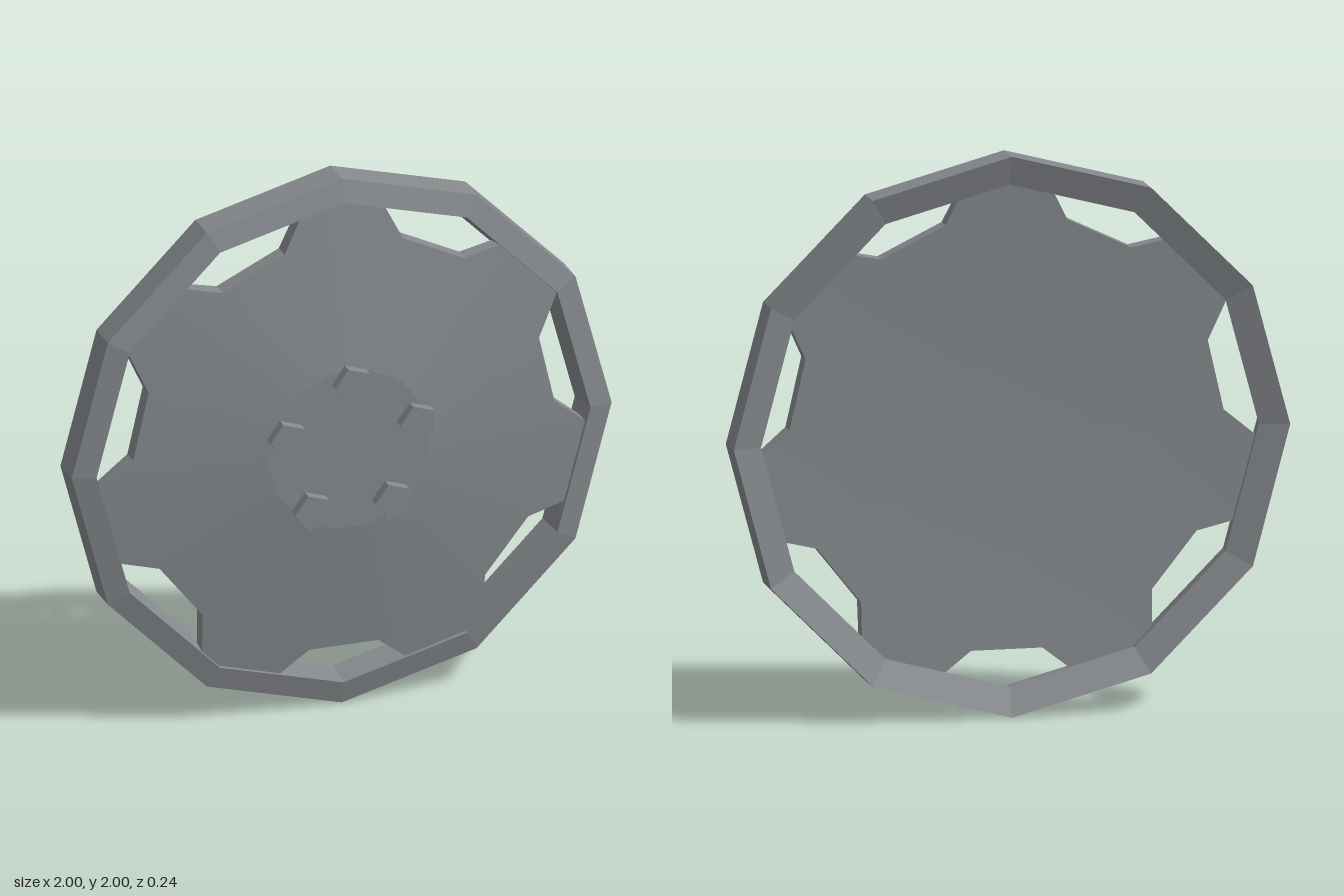
import * as THREE from 'three';
import { toCreasedNormals } from 'three/addons/utils/BufferGeometryUtils.js';

const SIDES = 12, RIM_IN = 0.915, HUB_R = 0.3;
const STEP = (Math.PI * 2) / SIDES;

// Radius of a regular polygon with its corners at multiples of STEP
function polyRadius(angle, r) {
  const a = ((angle % STEP) + STEP) % STEP;
  return (r * Math.cos(STEP / 2)) / Math.cos(a - STEP / 2);
}

// Outline of the plate: a twelve-sided disc with seven trapezoid notches
function plateOutline() {
  const points = [], notches = [];
  for (let i = 0; i < 7; i++) {
    const mid = -Math.PI / 2 + (i * Math.PI * 2) / 7;
    const place = (t, r) => ({ a: mid + Math.atan2(t, r), r: Math.hypot(t, r) });
    notches.push(mid);
    for (const side of [-1, 1]) {
      points.push(place(side * 0.128, 0.771));
      // walk along the slanted notch side until it meets the rim
      let lo = 0, hi = 0.3;
      for (let k = 0; k < 30; k++) {
        const s = (lo + hi) / 2;
        const p = place(side * (0.128 + s), 0.771 + 0.77 * s);
        if (p.r < polyRadius(p.a, RIM_IN)) lo = s; else hi = s;
      }
      points.push(place(side * (0.128 + lo), 0.771 + 0.77 * lo));
    }
  }
  // rim corners that do not fall inside a notch
  for (let i = 0; i < SIDES; i++) {
    const a = i * STEP;
    if (notches.every((m) => Math.cos(a - m) < Math.cos(0.275))) points.push({ a, r: RIM_IN });
  }
  const turn = Math.PI * 2;
  points.forEach((p) => { p.a = ((p.a % turn) + turn) % turn; });
  return points.sort((p, q) => p.a - q.a);
}

// Plate: flat hub and sloping skirt in front, edge wall, nearly flat back
function plateGeometry() {
  const outline = plateOutline(), pos = [];
  const front = { hub: HUB_R, z: 0.08, slope: 0.12 };
  const rear = { hub: 0.5, z: -0.027, slope: 0.045 };
  const point = (a, r, face) =>
    [r * Math.cos(a), r * Math.sin(a), face.z - Math.max(0, r - face.hub) * face.slope];
  const tri = (a, b, c) => pos.push(...a, ...b, ...c);
  const quad = (a, b, c, d) => { tri(a, b, c); tri(a, c, d); };
  outline.forEach((p, i) => {
    const q = outline[(i + 1) % outline.length];
    for (const face of [front, rear]) {
      const c = point(0, 0, face);
      const h0 = point(p.a, face.hub, face), h1 = point(q.a, face.hub, face);
      const o0 = point(p.a, p.r, face), o1 = point(q.a, q.r, face);
      if (face === rear) { tri(c, h1, h0); quad(h0, h1, o1, o0); }
      else { tri(c, h0, h1); quad(h0, o0, o1, h1); }
    }
    quad(point(p.a, p.r, rear), point(q.a, q.r, rear), point(q.a, q.r, front), point(p.a, p.r, front));
  });
  const g = new THREE.BufferGeometry();
  g.setAttribute('position', new THREE.Float32BufferAttribute(pos, 3));
  return toCreasedNormals(g, 0.05);
}

export function createModel() {
  const model = new THREE.Group();
  model.name = 'wheelCover';
  const metal = new THREE.MeshStandardMaterial({ color: 0x85898d });
  metal.name = 'grey metal';

  const add = (name, geometry, x = 0, y = 0, z = 0) => {
    const mesh = new THREE.Mesh(geometry, metal);
    mesh.name = name;
    mesh.position.set(x, 1 + y, z);
    model.add(mesh);
  };

  // Faceted rim with a bevelled front and an inward-sloping back
  const profile = [[1, -0.12], [1, 0], [RIM_IN, 0.02], [0.895, -0.09], [1, -0.12]]
    .map(([r, z]) => new THREE.Vector2(r, z));
  const rim = new THREE.LatheGeometry(profile, SIDES).rotateX(Math.PI / 2);
  add('rim', toCreasedNormals(rim, 0.1));

  add('plate', plateGeometry());

  // Five pentagonal bolts around the hub
  const bolt = toCreasedNormals(
    new THREE.CylinderGeometry(0.07, 0.07, 0.05, 5).rotateX(Math.PI / 2).rotateZ(-Math.PI / 2), 0.1);
  for (let i = 0; i < 5; i++) {
    const a = Math.PI / 2 + (i * Math.PI * 2) / 5;
    add('bolt' + (i + 1), bolt, 0.005 + 0.253 * Math.cos(a), 0.255 * Math.sin(a), 0.095);
  }
  return model;
}
